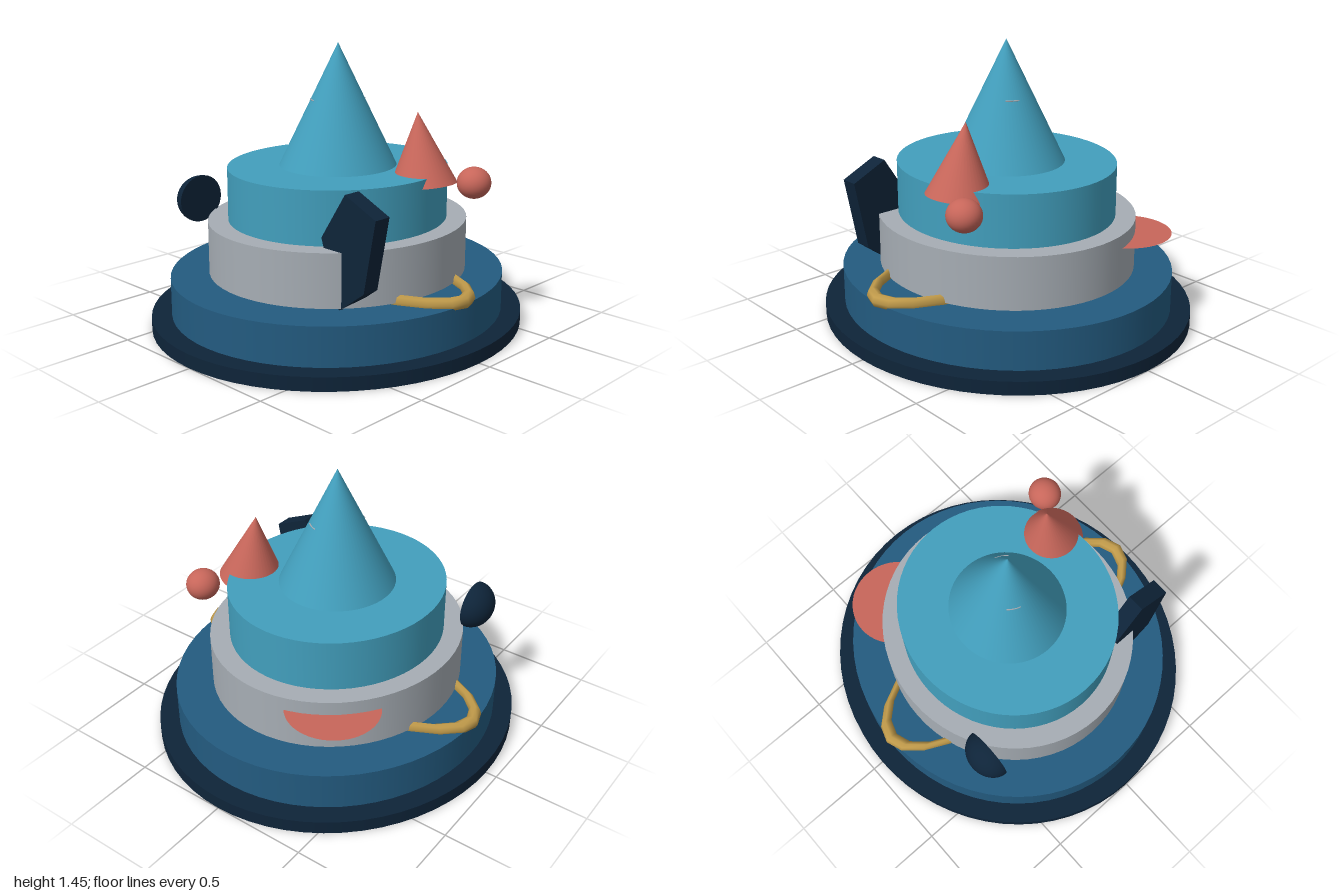
import * as THREE from 'three';

const mat = (name, color, side = THREE.FrontSide) => {
  const m = new THREE.MeshStandardMaterial({ color, side });
  m.name = name;
  return m;
};

export function createModel() {
  const group = new THREE.Group();
  const navy = mat('navy', 0x0e2439);
  const blue = mat('deep blue', 0x235b80);
  const grey = mat('pale grey', 0xa6adb4);
  const teal = mat('teal', 0x429fbd);
  const gold = mat('gold', 0xc09a4a);
  const coral = mat('coral', 0xc7665a, THREE.DoubleSide);

  const add = (name, geometry, material, x = 0, y = 0, z = 0) => {
    const mesh = new THREE.Mesh(geometry, material);
    mesh.name = name;
    mesh.position.set(x, y, z);
    group.add(mesh);
    return mesh;
  };

  // Stacked oval tiers: name, material, x radius, z radius, bottom, top
  const tiers = [
    ['basePlate', navy, 0.94, 1.0, 0, 0.07],
    ['lowerTier', blue, 0.84, 0.895, 0.07, 0.27],
    ['middleTier', grey, 0.65, 0.692, 0.28, 0.553],
    ['upperTier', teal, 0.55, 0.585, 0.553, 0.825],
  ];
  for (const [name, material, rx, rz, y0, y1] of tiers) {
    const g = new THREE.CylinderGeometry(1, 1, y1 - y0, 64);
    add(name, g.scale(rx, 1, rz), material, 0, (y0 + y1) / 2, 0);
  }

  // Central spire
  const spire = new THREE.ConeGeometry(1, 0.625, 64);
  add('spire', spire.scale(0.298, 1, 0.307), teal, 0, 0.825 + 0.3125, 0);

  // Slivers of a thin ring showing on two sides of the spire
  for (const a of [2.08, 2.08 + Math.PI]) {
    const g = new THREE.TorusGeometry(0.139, 0.004, 6, 10, 0.5);
    g.rotateX(Math.PI / 2).rotateY(-(a - 0.25));
    add('spireBand', g, grey, 0, 1.163, 0);
  }

  // Stretched ring whose ends form the side handles
  const ring = new THREE.TorusGeometry(0.835, 0.035, 8, 24).rotateX(Math.PI / 2);
  add('handleRing', ring.scale(1, 1, 0.38), gold, 0, 0.283, 0);

  // Leaning side cone and ball
  const cone = add('sideCone', new THREE.ConeGeometry(0.17, 0.362, 40), coral, 0.422, 0.945, -0.155);
  cone.rotation.z = 0.12;
  const ball = add('sideBall', new THREE.SphereGeometry(1, 32, 20), coral, 0.597, 0.76, -0.37);
  ball.scale.set(0.086, 0.081, 0.089);

  // Flat disc emerging from the back of the middle tier
  const disc = new THREE.CircleGeometry(1, 48).rotateX(-Math.PI / 2);
  add('backDisc', disc.scale(0.24, 1, 0.235), coral, -0.35, 0.48, -0.52);

  // Five-sided slab at the front
  const outline = [[0.5, 0.835], [0.347, 0.6], [0.462, 0.265], [0.62, 0.385], [0.69, 0.748]];
  const slab = new THREE.Shape(outline.map(([x, y]) => new THREE.Vector2(x, y)));
  add('slab', new THREE.ExtrudeGeometry(slab, { depth: 0.093, bevelEnabled: false }), navy, 0, 0, 0.375);

  // Half dome with a flat inner face
  const dome = new THREE.SphereGeometry(1, 32, 12, 0, Math.PI * 2, 0, Math.PI / 2).rotateZ(Math.PI / 2);
  add('sideDome', dome.scale(0.113, 0.123, 0.133), navy, -0.542, 0.627, 0.472);
  const cap = new THREE.CircleGeometry(1, 32).rotateY(Math.PI / 2);
  add('sideDomeCap', cap.scale(1, 0.123, 0.133), navy, -0.542, 0.627, 0.472);

  return group;
}
